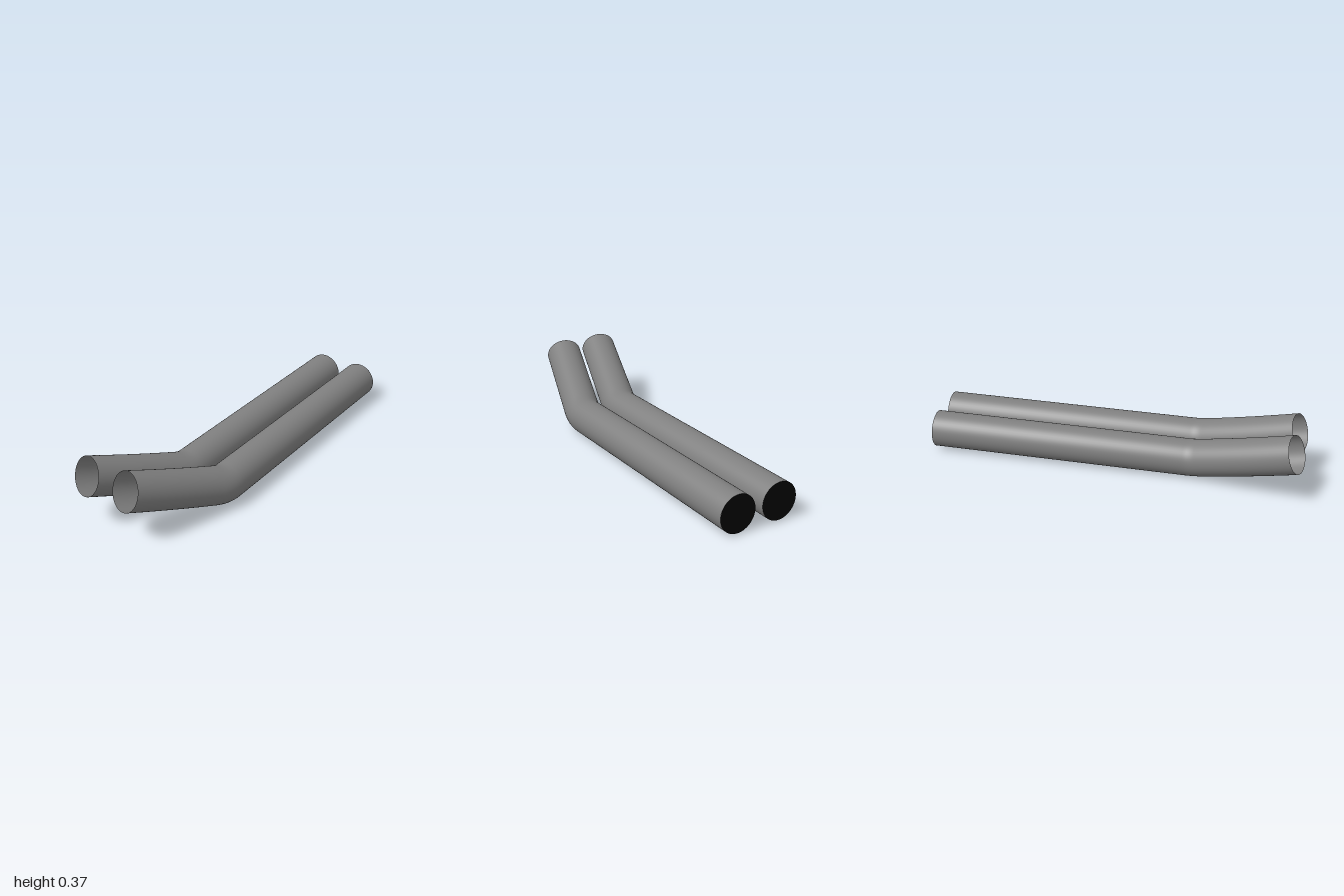
import * as THREE from 'three';

const RADIUS = 0.0975;

// Centre line: long straight run, short bend, then a front run rising slightly
function makeSpine() {
  const v = (x, y, z) => new THREE.Vector3(x, y, z);
  const back = v(0.367, 0.108, -0.938);
  const bendStart = v(0.118, 0.099, 0.41);
  const corner = v(0.109, 0.0985, 0.455);
  const bendEnd = v(0.085, 0.114, 0.5);
  const front = v(-0.148, 0.276, 0.943);
  const path = new THREE.CurvePath();
  path.add(new THREE.LineCurve3(back, bendStart));
  path.add(new THREE.QuadraticBezierCurve3(bendStart, corner, bendEnd));
  path.add(new THREE.QuadraticBezierCurve3(bendEnd, v(-0.03, 0.186, 0.715), front));
  return path;
}

// One bent pipe: open at the front, closed by a dark disc at the back
function makePipe(name, wallMaterial, capMaterial) {
  const pipe = new THREE.Group();
  pipe.name = name;
  const spine = makeSpine();
  const wall = new THREE.Mesh(new THREE.TubeGeometry(spine, 120, RADIUS, 48, false), wallMaterial);
  wall.name = 'pipeWall';

  const cap = new THREE.Mesh(new THREE.CircleGeometry(RADIUS, 48), capMaterial);
  cap.name = 'backCap';
  cap.position.copy(spine.getPointAt(0));
  cap.quaternion.setFromUnitVectors(new THREE.Vector3(0, 0, 1), spine.getTangentAt(0).negate());

  pipe.add(wall, cap);
  return pipe;
}

export function createModel() {
  const model = new THREE.Group();
  model.name = 'bentPipes';
  const wallMaterial = new THREE.MeshStandardMaterial({ color: 0x808080, side: THREE.DoubleSide });
  const capMaterial = new THREE.MeshStandardMaterial({ color: 0x030303, side: THREE.DoubleSide });

  const leftPipe = makePipe('leftPipe', wallMaterial, capMaterial);
  const rightPipe = makePipe('rightPipe', wallMaterial, capMaterial);
  rightPipe.position.set(-0.23, 0, -0.045);
  model.add(leftPipe, rightPipe);
  return model;
}
